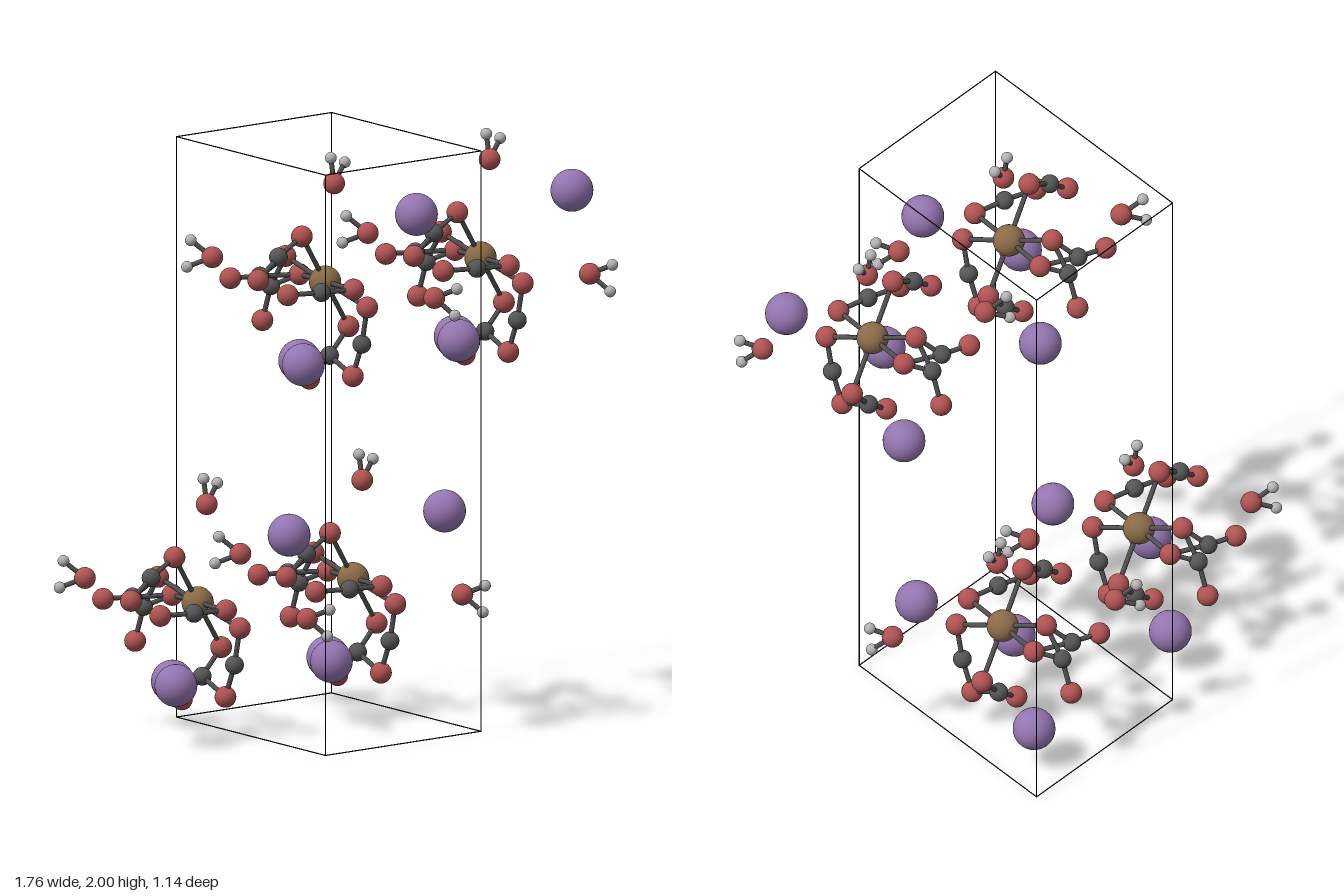
import * as THREE from 'three';

const material = (color) => new THREE.MeshStandardMaterial({ color, roughness: 0.7 });

// Atom kinds: radius and colour
const KINDS = {
  metal: { r: 0.055, mat: material(0x8b6b47) },
  alkali: { r: 0.073, mat: material(0x9475b0) },
  oxygen: { r: 0.037, mat: material(0xb05252) },
  carbon: { r: 0.032, mat: material(0x555555) },
  hydrogen: { r: 0.02, mat: material(0xb4b4b4) },
};
// Longest bond for each bonding pair of kinds
const BOND_LIMIT = { 'metal-oxygen': 0.26, 'oxygen-carbon': 0.15, 'oxygen-hydrogen': 0.12 };
const bondMat = material(0x505050);
const edgeMat = material(0x101010);

// Three-atom arms around the metal: oxygen, carbon, oxygen
const ARMS = [
  [[-0.411, 1.74, 0.187], [-0.528, 1.682, 0.187], [-0.629, 1.613, 0.187]],
  [[-0.178, 1.406, 0.187], [-0.273, 1.316, 0.187], [-0.374, 1.247, 0.187]],
  [[-0.295, 1.503, 0.383], [-0.295, 1.374, 0.358], [-0.295, 1.26, 0.316]],
  [[-0.364, 1.572, 0.383], [-0.491, 1.572, 0.352], [-0.614, 1.572, 0.31]],
  [[-0.295, 1.642, 0.003], [-0.295, 1.533, -0.065], [-0.295, 1.411, -0.104]],
  [[-0.225, 1.572, 0.003], [-0.35, 1.572, -0.065], [-0.453, 1.572, -0.106]],
];
// Waters: oxygen, hydrogen, hydrogen
const WATERS = [
  [[-0.077, 1.523, 0.492], [-0.032, 1.555, 0.555], [-0.043, 1.465, 0.555]],
  [[-0.194, 1.894, 0.135], [-0.194, 1.98, 0.12], [-0.125, 1.958, 0.12]],
  [[-0.55, 1.655, -0.1], [-0.597, 1.713, -0.156], [-0.614, 1.623, -0.158]],
];
const ALKALIS = [[0.024, 1.782, 0.315], [-0.576, 1.332, 0.347], [-0.212, 1.273, -0.008]];

const sphere = new THREE.SphereGeometry(1, 24, 16);
const rodGeometry = new THREE.CylinderGeometry(1, 1, 1, 10, 1, true);

// Cylinder between two points
function rod(a, b, radius, mat, name) {
  const mesh = new THREE.Mesh(rodGeometry, mat);
  const dir = b.clone().sub(a);
  mesh.scale.set(radius, dir.length(), radius);
  mesh.position.copy(a).add(b).multiplyScalar(0.5);
  mesh.quaternion.setFromUnitVectors(new THREE.Vector3(0, 1, 0), dir.normalize());
  mesh.name = name;
  return mesh;
}

// One metal complex with its waters and alkali ions
function createCluster() {
  const cluster = new THREE.Group();
  const atoms = [];
  const add = (kind, p) => atoms.push({ kind, p: new THREE.Vector3(...p) });

  add('metal', [-0.295, 1.572, 0.187]);
  for (const [inner, middle, outer] of ARMS) {
    add('oxygen', inner);
    add('carbon', middle);
    add('oxygen', outer);
  }
  for (const [o, h1, h2] of WATERS) {
    add('oxygen', o);
    add('hydrogen', h1);
    add('hydrogen', h2);
  }
  ALKALIS.forEach((p) => add('alkali', p));

  for (const { kind, p } of atoms) {
    const mesh = new THREE.Mesh(sphere, KINDS[kind].mat);
    mesh.scale.setScalar(KINDS[kind].r);
    mesh.position.copy(p);
    mesh.name = `${kind}Atom`;
    cluster.add(mesh);
  }

  // Bonds join every allowed pair that is close enough
  for (const a of atoms) {
    for (const b of atoms) {
      const limit = BOND_LIMIT[`${a.kind}-${b.kind}`];
      if (limit && a.p.distanceTo(b.p) < limit) {
        cluster.add(rod(a.p, b.p, 0.0085, bondMat, 'bond'));
      }
    }
  }
  return cluster;
}

// Slanted wire box around the clusters
function createCell() {
  const cell = new THREE.Group();
  cell.name = 'cellFrame';
  const corners = [[-0.275, -0.522], [0.5, -0.522], [0.185, 0.465], [-0.592, 0.465]];
  const at = (i, y) => new THREE.Vector3(corners[i % 4][0], y, corners[i % 4][1]);
  const r = 0.002;
  for (let i = 0; i < 4; i++) {
    cell.add(rod(at(i, r), at(i + 1, r), r, edgeMat, 'bottomEdge'));
    cell.add(rod(at(i, 2 - r), at(i + 1, 2 - r), r, edgeMat, 'topEdge'));
    cell.add(rod(at(i, 0), at(i, 2), r, edgeMat, 'uprightEdge'));
  }
  return cell;
}

export function createModel() {
  const model = new THREE.Group();
  model.name = 'crystalCell';
  model.add(createCell());

  // Two layers of two clusters each
  const layers = { upper: [0, 0, 0], lower: [-0.216, -1.119, -0.391] };
  for (const [layer, [x, y, z]] of Object.entries(layers)) {
    for (const [side, shift] of [['Right', 0], ['Left', 0.777]]) {
      const cluster = createCluster();
      cluster.name = `${layer}${side}Cluster`;
      cluster.position.set(x + shift, y, z);
      model.add(cluster);
    }
  }
  return model;
}
